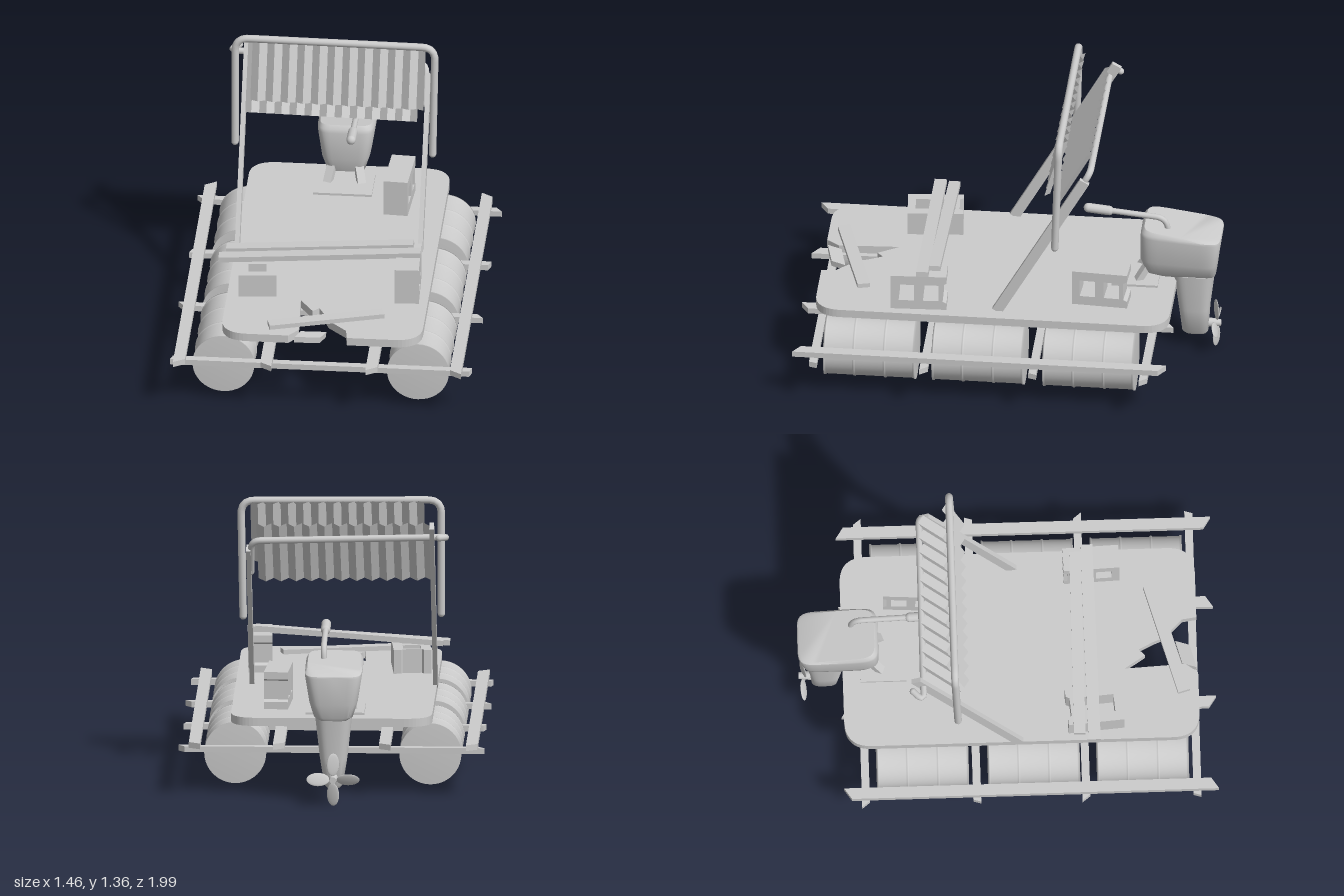
import * as THREE from 'three';
import { toCreasedNormals } from 'three/addons/utils/BufferGeometryUtils.js';

const V = (x, y, z) => new THREE.Vector3(x, y, z);
const smooth = new THREE.MeshStandardMaterial({ color: 0xcccccc });
const flat = new THREE.MeshStandardMaterial({ color: 0xcccccc, flatShading: true });
const sheet = new THREE.MeshStandardMaterial({ color: 0xcccccc, flatShading: true, side: THREE.DoubleSide });

export function createModel() {
  const root = new THREE.Group();
  const add = (name, geo, mat = smooth, parent = root) => {
    const m = new THREE.Mesh(geo, mat);
    m.name = name;
    parent.add(m);
    return m;
  };

  // Plank from a to b; cut slants the two sawn ends
  const board = (name, a, b, w, t, cut = 0) => {
    const g = new THREE.BoxGeometry(w, t, a.distanceTo(b));
    const p = g.attributes.position;
    for (let i = 0; i < p.count; i++) p.setZ(i, p.getZ(i) + Math.sign(p.getX(i)) * cut);
    const m = add(name, g, flat);
    m.position.copy(a).lerp(b, 0.5);
    m.lookAt(b);
  };

  // Bent pipe with rounded corners and closed ends
  const pipe = (name, pts, r, bend) => {
    const path = new THREE.CurvePath();
    let from = pts[0];
    for (let i = 1; i < pts.length - 1; i++) {
      const c = pts[i];
      const p = c.clone().add(pts[i - 1].clone().sub(c).setLength(bend));
      const q = c.clone().add(pts[i + 1].clone().sub(c).setLength(bend));
      path.add(new THREE.LineCurve3(from, p));
      path.add(new THREE.QuadraticBezierCurve3(p, c, q));
      from = q;
    }
    path.add(new THREE.LineCurve3(from, pts[pts.length - 1]));
    add(name, new THREE.TubeGeometry(path, 90, r, 12));
    for (const e of [pts[0], pts[pts.length - 1]])
      add(name + 'End', new THREE.SphereGeometry(r, 12, 8)).position.copy(e);
  };

  // Closed body through rounded rectangles, bottom to top; rows: [y, zFront, zBack, halfWidth], tilt lowers the back
  const loft = (rows, n, power, tilt) => {
    const pos = [], idx = [];
    const pw = v => Math.sign(v) * Math.abs(v) ** power;
    rows.forEach(([y, z0, z1, hx], k) => {
      const drop = tilt * k / (rows.length - 1);
      for (let i = 0; i < n; i++) {
        const a = i / n * Math.PI * 2, s = pw(Math.sin(a));
        pos.push(hx * pw(Math.cos(a)), y + s * drop, (z0 + z1) / 2 + s * (z0 - z1) / 2);
        const j = (i + 1) % n, c = k * n;
        if (k) idx.push(c + i, c + j, c - n + i, c + j, c - n + j, c - n + i);
      }
    });
    const top = (rows.length - 1) * n;
    for (let i = 1; i < n - 1; i++) idx.push(0, i, i + 1, top, top + i + 1, top + i);
    const g = new THREE.BufferGeometry();
    g.setAttribute('position', new THREE.Float32BufferAttribute(pos, 3));
    g.setIndex(idx);
    return toCreasedNormals(g, 0.7);
  };

  // Floats: six ribbed drums, softly shaded over the ends
  const H = 0.219, profile = [[0, -H], [0.148, -H], [0.148, -H + 0.008], [0.143, -H + 0.012]];
  for (const y of [-0.073, 0.073]) profile.push([0.143, y - 0.008], [0.148, y - 0.003], [0.148, y + 0.003], [0.143, y + 0.008]);
  profile.push([0.143, H - 0.012], [0.148, H - 0.008], [0.148, H], [0, H]);
  const drum = new THREE.LatheGeometry(profile.map(p => new THREE.Vector2(...p)), 40).rotateX(Math.PI / 2);
  for (const x of [-0.475, 0.455])
    for (const z of [0.634, 0.115, -0.415]) add('drum', drum).position.set(x, 0.186, z);

  // Raft frame
  [-0.69, -0.16, 0.36, 0.89].forEach((z, i) =>
    board('crossBeam', V(-0.72, 0.217, z), V(0.71, 0.217, z), 0.038, 0.028, i % 2 ? 0.006 : -0.015));
  [-0.677, -0.262, 0.243, 0.645].forEach((x, i) =>
    board('longBeam', V(x, 0.248, -0.775), V(x, 0.248, 0.975), 0.055, 0.028, i % 2 ? 0.018 : -0.018));

  // Deck with a broken notch in the front edge
  const s = new THREE.Shape(), L = -0.485, R = 0.474, B = -0.783, F = 0.91, c = 0.13;
  s.moveTo(L + c, B);
  s.lineTo(R - c, B).quadraticCurveTo(R, B, R, B + c);
  s.lineTo(R, F - c).quadraticCurveTo(R, F, R - c, F);
  for (const [x, z] of [[0.12, F], [0.11, 0.84], [0.02, 0.75], [0, 0.7], [-0.035, 0.63], [-0.065, 0.66], [-0.13, 0.56], [-0.115, 0.85], [-0.16, F]]) s.lineTo(x, z);
  s.lineTo(L + c, F).quadraticCurveTo(L, F, L, F - c);
  s.lineTo(L, B + c).quadraticCurveTo(L, B, L + c, B);
  add('deck', new THREE.ExtrudeGeometry(s, { depth: 0.04, bevelEnabled: false }).rotateX(Math.PI / 2), flat).position.y = 0.387;
  board('splinter', V(-0.12, 0.36, 0.87), V(0, 0.345, 0.84), 0.06, 0.03, 0.02);
  board('loosePlank', V(-0.26, 0.402, 0.84), V(0.275, 0.408, 0.69), 0.06, 0.022);

  // Hollow blocks: two cells and one notched end
  const blockShape = new THREE.Shape([[-0.133, -0.09], [0.133, -0.09], [0.133, -0.055], [0.115, -0.045],
    [0.115, 0.045], [0.133, 0.055], [0.133, 0.09], [-0.133, 0.09]].map(p => new THREE.Vector2(...p)));
  for (const x of [-0.058, 0.058])
    blockShape.holes.push(new THREE.Path([[-0.037, -0.043], [-0.037, 0.043], [0.037, 0.043], [0.037, -0.043]].map(([u, v]) => new THREE.Vector2(x + u, v))));
  const block = (x, y, z, lying, turn) => {
    const g = new THREE.ExtrudeGeometry(blockShape, { depth: 0.115, bevelEnabled: false }).translate(0, 0, -0.0575);
    if (lying) g.rotateX(-Math.PI / 2);
    const m = add('hollowBlock', g.rotateY(Math.PI / 2), flat);
    m.position.set(x, y, z);
    m.rotation.y = turn;
  };
  block(0.37, 0.477, 0.415, false, 0.04);
  block(-0.35, 0.445, 0.41, true, 0.08);
  block(0.255, 0.477, -0.445, false, -0.06);

  // Bench planks resting on the blocks
  board('benchPlank', V(-0.535, 0.517, 0.405), V(0.43, 0.582, 0.395), 0.058, 0.026);
  board('benchPlank', V(-0.505, 0.528, 0.335), V(0.39, 0.595, 0.34), 0.055, 0.026);

  // Leaning roof posts
  board('roofPost', V(-0.478, 0.385, 0.045), V(-0.475, 1.255, -0.445), 0.022, 0.05);
  board('roofPost', V(0.396, 0.385, 0.04), V(0.4, 1.13, -0.38), 0.022, 0.05);

  // Corrugated roof sheets
  const corrugated = (x, w, y0, z0, y1, z1, roll) => {
    const n = 23, g = new THREE.PlaneGeometry(w, Math.hypot(y1 - y0, z1 - z0), n, 1), p = g.attributes.position;
    for (let i = 0; i < p.count; i++) p.setZ(i, (i % (n + 1)) % 2 ? 0.013 : -0.013);
    const m = add('roofSheet', g, sheet);
    m.position.set(x, (y0 + y1) / 2, (z0 + z1) / 2);
    m.rotation.set(Math.atan2(z1 - z0, y1 - y0), 0, roll);
  };
  corrugated(-0.022, 0.83, 1.035, -0.2, 1.335, -0.285, -0.015);
  corrugated(-0.055, 0.83, 0.95, -0.235, 1.25, -0.4, -0.015);

  // Bent pipes holding the roof
  pipe('roofPipe', [V(-0.515, 0.79, -0.245), V(-0.515, 1.345, -0.26), V(0.44, 1.336, -0.26), V(0.43, 0.77, -0.24)], 0.018, 0.065);
  pipe('rearPipe', [V(-0.51, 1.2, -0.46), V(-0.56, 1.195, -0.41), V(0.385, 1.17, -0.405), V(0.39, 1.0, -0.31)], 0.016, 0.045);

  // Outboard motor
  const motor = new THREE.Group();
  motor.name = 'motor';
  motor.position.x = -0.022;
  root.add(motor);
  add('cowl', loft([[0.41, -0.69, -0.962, 0.07], [0.43, -0.635, -0.97, 0.095], [0.5, -0.61, -0.978, 0.116], [0.635, -0.612, -0.997, 0.137],
    [0.65, -0.615, -0.995, 0.136], [0.662, -0.63, -0.985, 0.126]], 40, 0.34, 0.025), smooth, motor);
  add('leg', loft([[0.075, -0.82, -0.92, 0.032], [0.09, -0.805, -0.93, 0.045], [0.22, -0.79, -0.938, 0.066], [0.42, -0.765, -0.962, 0.088]], 32, 0.6, 0), smooth, motor);
  add('mountPlate', new THREE.BoxGeometry(0.28, 0.012, 0.22), flat, motor).position.set(0, 0.392, -0.59);
  for (const x of [-0.07, 0.07])
    board('mountStrut', V(x * 1.15 - 0.022, 0.39, -0.6), V(x * 0.8 - 0.022, 0.5, -0.665), 0.04, 0.03);

  // Propeller
  add('propellerHub', new THREE.CylinderGeometry(0.016, 0.024, 0.07, 16).rotateX(-Math.PI / 2), smooth, motor).position.set(0, 0.127, -0.955);
  for (let i = 0; i < 4; i++) {
    const blade = add('propellerBlade', new THREE.SphereGeometry(1, 16, 10).scale(0.033, 0.055, 0.006).rotateY(0.45).translate(0, 0.072, 0), smooth, motor);
    blade.position.set(0, 0.127, -0.968);
    blade.rotation.z = i * Math.PI / 2;
  }

  // Tiller with a thicker grip
  pipe('tiller', [V(0.028, 0.64, -0.745), V(0.03, 0.725, -0.73), V(0.03, 0.755, -0.42)], 0.014, 0.05);
  pipe('tillerGrip', [V(0.03, 0.75, -0.46), V(0.03, 0.76, -0.36)], 0.023, 0);
  return root;
}
